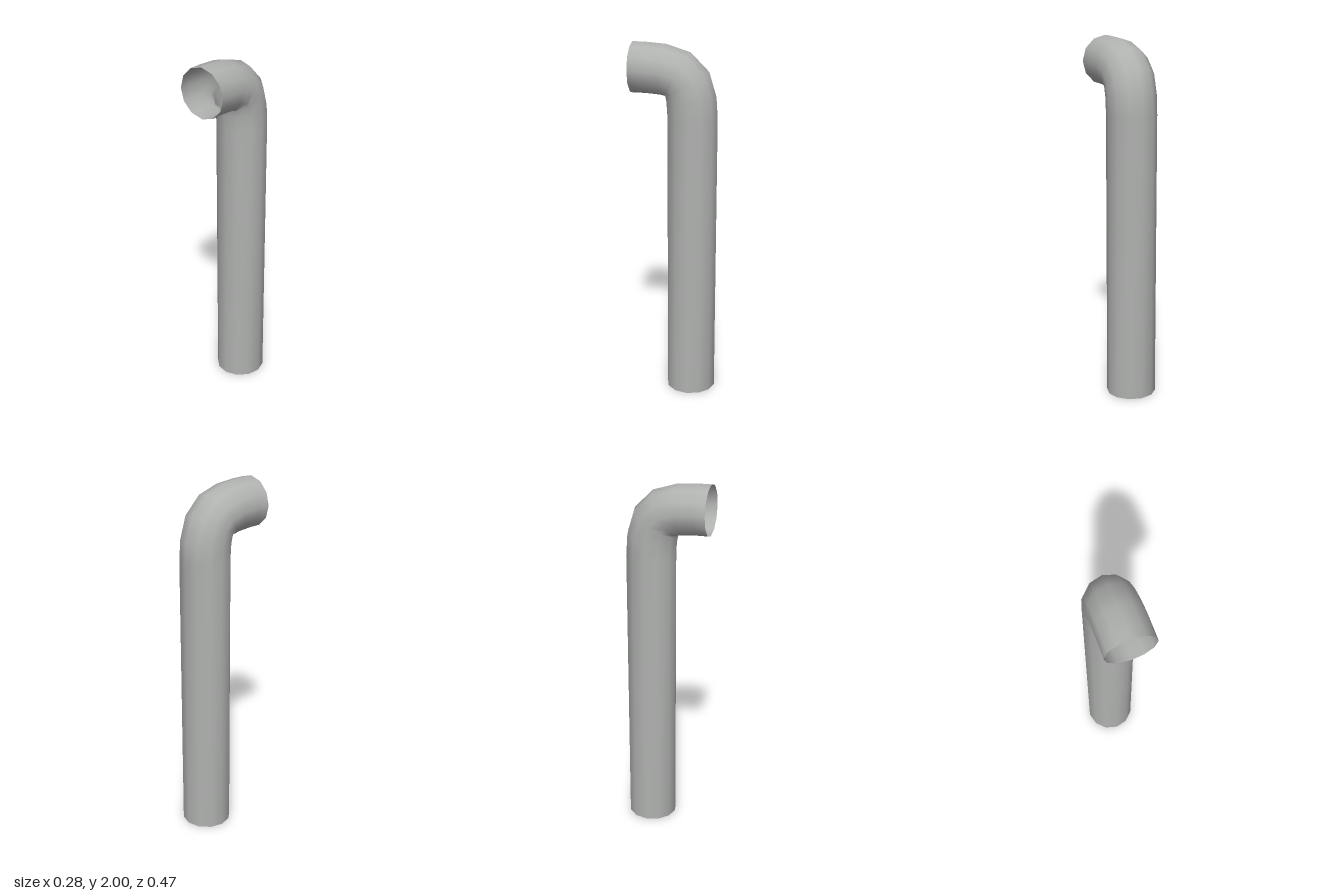
import * as THREE from 'three';

const SIDES = 12;
const RADIUS = 0.138;

// Centre line of the pipe, bottom to mouth: [z, y, tilt from vertical in degrees]
const PATH = [
  [-0.095, 0, 0],
  [-0.095, 1.6, 0],
  [-0.088, 1.7, 8],
  [-0.0645, 1.782, 30],
  [-0.015, 1.8315, 60],
  [0.067, 1.855, 82],
  [0.165, 1.862, 90],
  [0.233, 1.862, 90],
];

// Skin a round, open-ended tube over the rings of the path
function buildPipe() {
  const positions = [];
  const indices = [];
  PATH.forEach(([z, y, degrees], i) => {
    const tilt = THREE.MathUtils.degToRad(degrees);
    for (let j = 0; j < SIDES; j++) {
      const a = (j / SIDES) * Math.PI * 2;
      const out = RADIUS * Math.sin(a);
      positions.push(RADIUS * Math.cos(a), y + out * Math.sin(tilt), z - out * Math.cos(tilt));
      if (i < PATH.length - 1) {
        const k = (j + 1) % SIDES;
        const lower = i * SIDES;
        const upper = lower + SIDES;
        indices.push(lower + j, lower + k, upper + k, lower + j, upper + k, upper + j);
      }
    }
  });
  const geometry = new THREE.BufferGeometry();
  geometry.setAttribute('position', new THREE.Float32BufferAttribute(positions, 3));
  geometry.setIndex(indices);
  geometry.computeVertexNormals();
  return geometry;
}

export function createModel() {
  const group = new THREE.Group();
  group.name = 'ventPipe';

  // Thin open wall, seen from inside and outside
  const metal = new THREE.MeshStandardMaterial({ color: 0xb0b2b0, side: THREE.DoubleSide });
  metal.name = 'grey metal';

  const pipe = new THREE.Mesh(buildPipe(), metal);
  pipe.name = 'bentPipe';
  group.add(pipe);
  return group;
}
